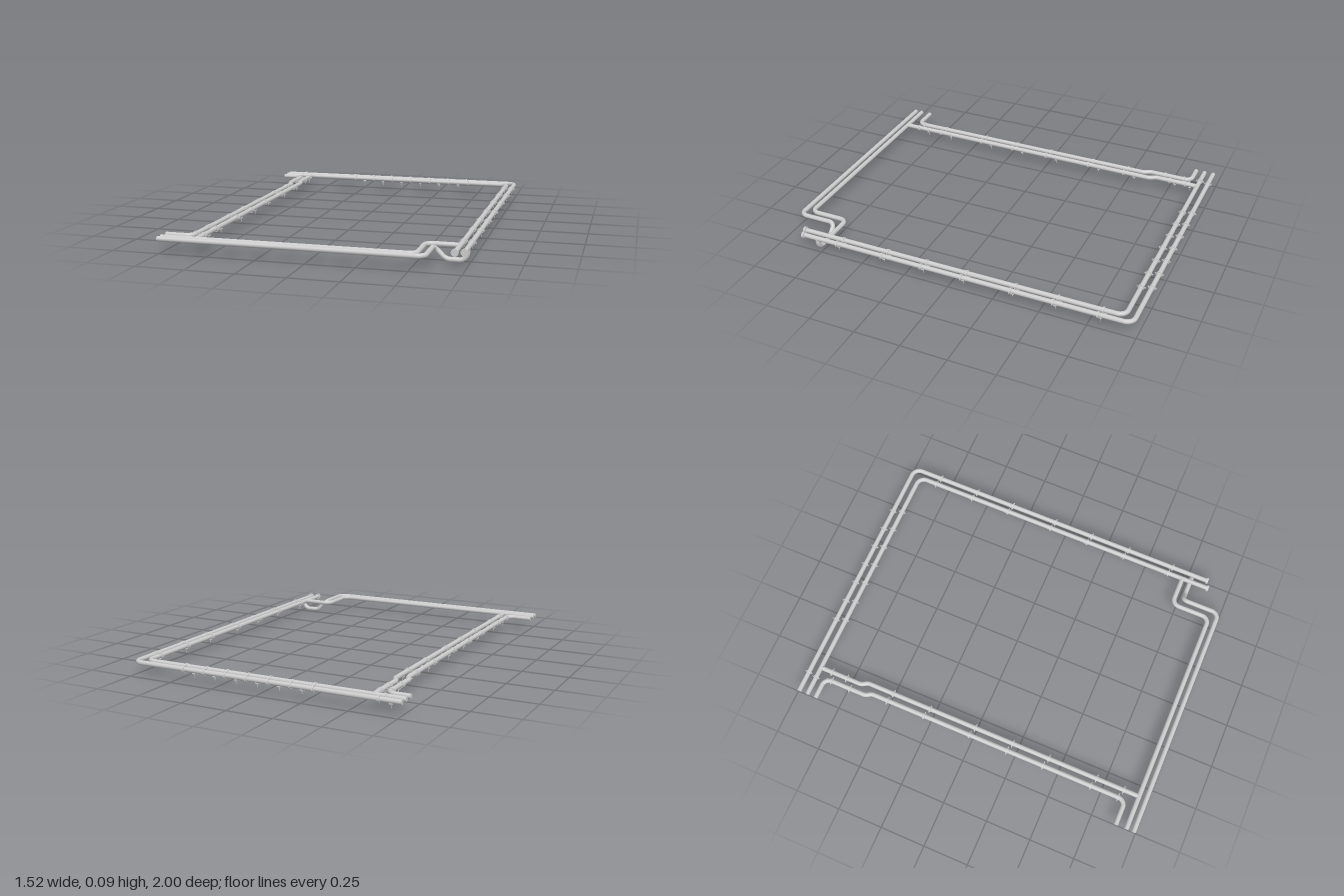
import * as THREE from 'three';
import { mergeGeometries } from 'three/addons/utils/BufferGeometryUtils.js';

const R = 0.0125, Y = 0.0725;
const mat = new THREE.MeshStandardMaterial({ color: 0xcccccc });
const V = (x, z, y = Y) => new THREE.Vector3(x, y, z);

// Disc closing a pipe end, facing along dir
function cap(p, dir) {
  const g = new THREE.CircleGeometry(R, 20);
  g.applyQuaternion(new THREE.Quaternion().setFromUnitVectors(new THREE.Vector3(0, 0, 1), dir));
  return g.translate(p.x, p.y, p.z);
}

// Pipe through corner points; bends holds the bend length at each inner corner
function pipe(name, pts, bends) {
  const parts = [];
  const tube = (curve, n) => parts.push(new THREE.TubeGeometry(curve, n, R, 20));
  let from = pts[0];
  bends.forEach((d, i) => {
    const p = pts[i + 1];
    const a = pts[i].clone().sub(p).setLength(d), b = pts[i + 2].clone().sub(p).setLength(d);
    const s = p.clone().add(a), e = p.clone().add(b);
    tube(new THREE.LineCurve3(from, s), 1);
    tube(new THREE.CubicBezierCurve3(s, p.clone().addScaledVector(a, 0.45),
      p.clone().addScaledVector(b, 0.45), e), 10);
    from = e;
  });
  const n = pts.length, last = pts[n - 1];
  tube(new THREE.LineCurve3(from, last), 1);
  parts.push(cap(pts[0], pts[0].clone().sub(pts[1]).normalize()));
  parts.push(cap(last, last.clone().sub(pts[n - 2]).normalize()));
  const mesh = new THREE.Mesh(mergeGeometries(parts), mat);
  mesh.name = name;
  return mesh;
}

// Band, pointed side ears and bolts, made for a pipe running along z
const clampGeo = mergeGeometries([
  new THREE.CylinderGeometry(0.016, 0.016, 0.01, 20).rotateX(Math.PI / 2),
  new THREE.CylinderGeometry(1, 1, 0.005, 4).scale(0.0245, 1, 0.009),
  ...[-1, 1].map(s => new THREE.CylinderGeometry(0.002, 0.002, 0.012, 6).translate(s * 0.019, 0, 0)),
]);
// Small saddle with a pointed pin below the pipe
const pinGeo = mergeGeometries([
  new THREE.BoxGeometry(0.018, 0.004, 0.016).translate(0, -0.0135, 0),
  new THREE.CylinderGeometry(0.0028, 0.001, 0.022, 6).translate(0, -0.026, 0),
]);

function fitting(name, geo, x, z, alongX) {
  const m = new THREE.Mesh(geo, mat);
  m.name = name;
  m.position.set(x, Y, z);
  if (alongX) m.rotation.y = Math.PI / 2;
  return m;
}

export function createModel() {
  const g = new THREE.Group();
  g.name = 'pipework';

  // Main pipe runs; the outer front one dips under the inner right one
  g.add(
    pipe('outerBackPipe', [V(-0.761, -0.974), V(0.737, -0.974), V(0.737, 0.867)], [0.045]),
    pipe('innerBackPipe', [V(-0.761, -0.924), V(0.694, -0.924), V(0.694, 0.884)], [0.045]),
    pipe('innerFrontPipe', [V(-0.761, 0.946), V(0.525, 0.946), V(0.525, 0.726), V(0.694, 0.726)], [0.04, 0.04]),
    pipe('outerFrontPipe', [V(-0.761, 0.987), V(0.573, 0.987), V(0.573, 0.774),
      V(0.634, 0.774, R), V(0.737, 0.774, R), V(0.737, 0.774)], [0.04, 0.03, 0.02, 0.04]),
  );

  // Left side runs with a small jog near the back
  g.add(
    pipe('outerSidePipe', [V(-0.761, -0.874), V(-0.641, -0.874), V(-0.641, -0.629),
      V(-0.621, -0.6), V(-0.621, 0.887), V(-0.761, 0.887)], [0.04, 0.014, 0.014, 0.04]),
    pipe('innerSidePipe', [V(-0.594, -0.924), V(-0.594, -0.677), V(-0.573, -0.646),
      V(-0.573, 0.946)], [0.014, 0.014]),
  );

  // Clamps and pins on the back run
  for (const [z, shift] of [[-0.974, 0], [-0.924, 0.016]]) {
    g.add(fitting('clamp', clampGeo, -0.644 - shift * 0.7, z, true));
    g.add(fitting('pin', pinGeo, -0.706 + shift, z, true));
    for (let i = 0; i < 7; i++) {
      const x = -0.306 + i * 0.1227 + shift;
      g.add(fitting('clamp', clampGeo, x, z, true));
      if (i < 6) g.add(fitting('pin', pinGeo, x + 0.061, z, true));
    }
  }

  // Clamps and pins on the side runs: x, pin offset, clamp positions along z
  const right = [-0.814, -0.581, -0.354, -0.084, 0.144, 0.371, 0.641];
  const left = [-0.504, -0.284, -0.014, 0.206, 0.416, 0.691, 0.846];
  const sides = [
    [0.694, -0.012, right],
    [0.737, -0.012, right.map(z => z + 0.012)],
    [-0.621, -0.065, left],
    [-0.573, -0.065, left.map(z => z + 0.014)],
    [-0.641, -0.03, [-0.834, -0.724]],
    [-0.594, -0.03, [-0.854, -0.764]],
  ];
  for (const [x, offset, zs] of sides) for (const z of zs) {
    g.add(fitting('clamp', clampGeo, x, z, false));
    g.add(fitting('pin', pinGeo, x, z + offset, false));
  }

  // Collars on the free ends at the front
  for (const [x, z] of [[0.737, 0.861], [0.694, 0.878]]) {
    const m = new THREE.Mesh(new THREE.CylinderGeometry(0.0185, 0.0185, 0.012, 20).rotateX(Math.PI / 2), mat);
    m.name = 'endCollar';
    m.position.set(x, Y, z);
    g.add(m);
  }
  return g;
}
